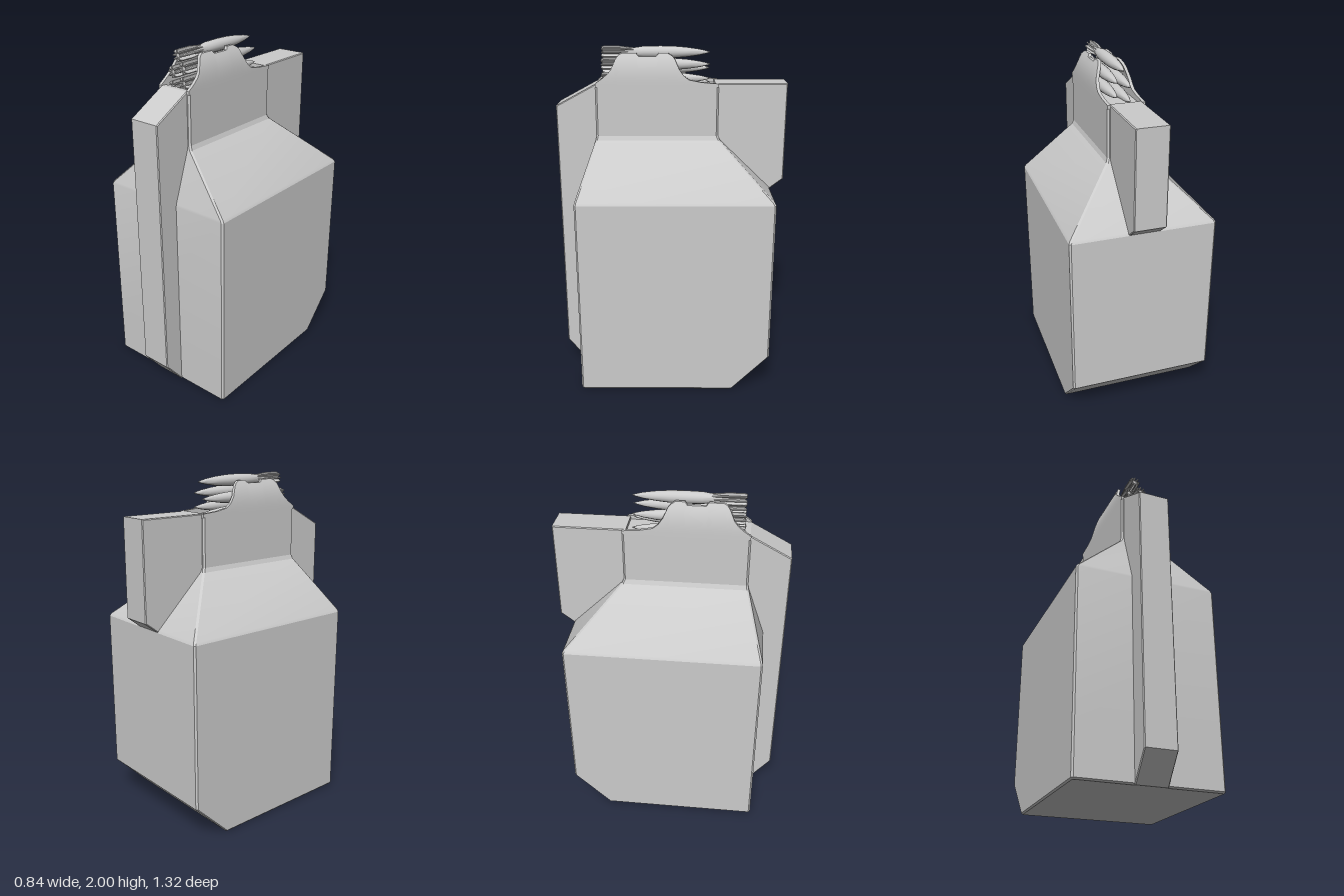
import * as THREE from 'three';
import { toCreasedNormals, mergeGeometries } from 'three/addons/utils/BufferGeometryUtils.js';

const grey = new THREE.MeshStandardMaterial({ color: 0xcccccc });

function addMesh(group, geometry, name) {
  const mesh = new THREE.Mesh(geometry, grey);
  mesh.name = name;
  group.add(mesh);
  return mesh;
}

// Skin closed loops of [x, y, z] points, counterclockwise seen from the last loop's side.
function loft(loops) {
  const n = loops[0].length;
  const index = [];
  for (let s = 0; s < loops.length - 1; s++) {
    for (let i = 0; i < n; i++) {
      const a = s * n + i, b = s * n + (i + 1) % n;
      index.push(a, b, b + n, a, b + n, a + n);
    }
  }
  const top = (loops.length - 1) * n;
  for (let i = 1; i < n - 1; i++) {
    index.push(0, i + 1, i, top, top + i, top + i + 1);
  }
  const geo = new THREE.BufferGeometry();
  geo.setAttribute('position', new THREE.Float32BufferAttribute(loops.flat(2), 3));
  geo.setIndex(index);
  return toCreasedNormals(geo, 0.35);
}

// Rectangle with small cut corners at height y.
function ring(y, hx, back, front, c = 0.01) {
  return [
    [hx - c, y, front], [hx, y, front - c], [hx, y, back + c], [hx - c, y, back],
    [c - hx, y, back], [-hx, y, back + c], [-hx, y, front - c], [c - hx, y, front],
  ];
}

// Plate with a [z, y] outline, centred on x = 0.
function plate(points, width, bevel = 0.005) {
  const shape = new THREE.Shape(points.map(([z, y]) => new THREE.Vector2(z, y)));
  const geo = new THREE.ExtrudeGeometry(shape, {
    depth: width - 2 * bevel, bevelSize: bevel, bevelThickness: bevel,
    bevelOffset: -bevel, bevelSegments: 1,
  });
  geo.translate(0, 0, bevel - width / 2);
  return geo.rotateY(-Math.PI / 2);
}

// Outer half-width of the curved feed lips at height y.
function lipX(y) {
  const t = Math.max(0, (y - 1.78) / 0.19);
  return 0.108 - 0.043 * t ** 3;
}

// Feed lip: a thin curved wall whose top edge follows a [z, y] profile.
function feedLip(side) {
  const edge = [
    [-0.27, 1.80], [-0.17, 1.808], [-0.10, 1.822], [-0.07, 1.845], [-0.045, 1.88],
    [-0.02, 1.935], [-0.005, 1.952], [0.02, 1.966], [0.07, 1.966], [0.085, 1.95],
    [0.185, 1.95], [0.2, 1.966], [0.28, 1.966], [0.3, 1.955], [0.315, 1.935],
    [0.34, 1.88], [0.36, 1.855], [0.39, 1.83], [0.432, 1.80],
  ];
  const steps = 8;
  return loft(edge.map(([z, h]) => {
    const loop = [];
    for (let k = 0; k <= steps; k++) {
      const y = 1.78 + (h - 1.78) * k / steps;
      loop.push([side * lipX(y), y, z]);
    }
    for (let k = steps; k >= 0; k--) {
      const y = 1.78 + (h - 1.78) * k / steps;
      loop.push([side * (lipX(y) - 0.018), y, z]);
    }
    return side > 0 ? loop : loop.reverse();
  }));
}

// Finned dart, tip towards -z.
function dartGeometry() {
  const profile = [
    [0, 0.39], [0.017, 0.39], [0.017, 0.3], [0.024, 0.22], [0.033, 0.16], [0.035, 0.06],
    [0.033, -0.02], [0.027, -0.09], [0.017, -0.16], [0.007, -0.205], [0, -0.225],
  ].map(([r, z]) => new THREE.Vector2(r, -z));
  const body = new THREE.LatheGeometry(profile, 16).rotateX(-Math.PI / 2);
  const parts = [toCreasedNormals(body, 0.6)];
  for (let i = 0; i < 8; i++) {
    const outline = [[0.2, 0.01], [0.39, 0.01], [0.4, 0.02], [0.4, 0.03],
      [0.385, 0.035], [0.3, 0.035], [0.2, 0.024]];
    parts.push(plate(outline, 0.007, 0.001).rotateZ(i * Math.PI / 4));
  }
  return mergeGeometries(parts.map((g) => (g.index ? g.toNonIndexed() : g)));
}

export function createModel() {
  const model = new THREE.Group();
  model.name = 'magazine';

  // Box body with cut lower back edge, sloping shoulders and narrow neck
  addMesh(model, loft([
    ring(0.003, 0.412, -0.365, 0.532),
    ring(0.012, 0.42, -0.375, 0.54),
    ring(0.225, 0.42, -0.585, 0.54),
    ring(1.175, 0.42, -0.585, 0.54),
    ring(1.19, 0.412, -0.577, 0.537),
    ring(1.475, 0.118, -0.282, 0.438),
    ring(1.5, 0.108, -0.27, 0.433),
    ring(1.78, 0.108, -0.27, 0.432),
  ]), 'body');

  // Front spine running the full height
  addMesh(model, plate([
    [0.4, 0.003], [0.54, 0.003], [0.662, 0.16], [0.662, 1.672], [0.43, 1.797], [0.4, 1.797],
  ], 0.185), 'frontSpine');

  // Rear rib behind the neck
  addMesh(model, plate([
    [-0.25, 1.2], [-0.585, 1.178], [-0.662, 1.238], [-0.662, 1.8], [-0.25, 1.8],
  ], 0.185), 'rearRib');

  // Feed lips on both sides of the opening
  addMesh(model, feedLip(1), 'leftFeedLip');
  addMesh(model, feedLip(-1), 'rightFeedLip');

  // Staggered stack of darts
  const dart = dartGeometry();
  [[0, 1.965], [0.038, 1.902], [-0.038, 1.872], [0.038, 1.822], [-0.038, 1.792]]
    .forEach(([x, y], i) => addMesh(model, dart, `dart${i + 1}`).position.set(x, y, 0));

  return model;
}
